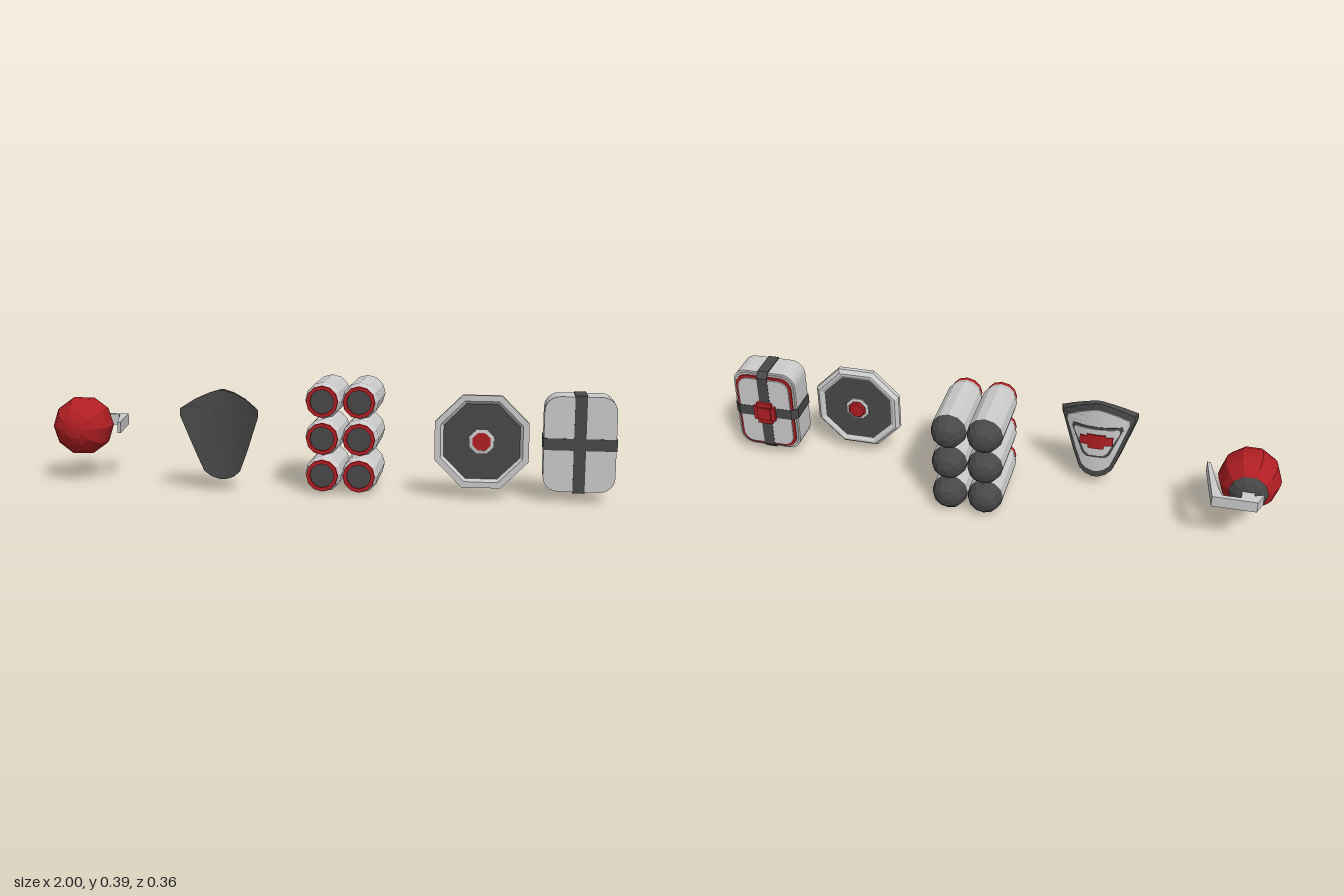
import * as THREE from 'three';

const material = (color) => new THREE.MeshStandardMaterial({ color, flatShading: true, side: THREE.DoubleSide });
const GREY = material(0xcccccc), DARK = material(0x484848), RED = material(0xb01e22);

function add(parent, name, geometry, mat) {
  const mesh = new THREE.Mesh(geometry, mat);
  mesh.name = name;
  parent.add(mesh);
  return mesh;
}

function group(parent, name, x, y) {
  const g = new THREE.Group();
  g.name = name;
  g.position.set(x, y, 0);
  parent.add(g);
  return g;
}

// Turned part along z; profile is [radius, z], running from front to back
function turned(profile, sides, phase = 0) {
  const pts = profile.map(([r, z]) => new THREE.Vector2(r, -z));
  return new THREE.LatheGeometry(pts, sides, phase).rotateX(-Math.PI / 2);
}

// Octagonal turned part with flats facing up and sideways; radii are apothems
const octagonal = (profile) =>
  turned(profile.map(([a, z]) => [a / Math.cos(Math.PI / 8), z]), 8, Math.PI / 8);

function polygon(points) {
  return new THREE.Shape(points.map(([x, y]) => new THREE.Vector2(x, y)));
}

function extrude(shape, z0, z1, curveSegments = 3) {
  return new THREE.ExtrudeGeometry(shape, { depth: z1 - z0, bevelEnabled: false, curveSegments }).translate(0, 0, z0);
}

function roundedRect(w, h, r) {
  const s = new THREE.Shape();
  s.moveTo(-w + r, -h);
  s.lineTo(w - r, -h).absarc(w - r, -h + r, r, -Math.PI / 2, 0);
  s.lineTo(w, h - r).absarc(w - r, h - r, r, 0, Math.PI / 2);
  s.lineTo(-w + r, h).absarc(-w + r, h - r, r, Math.PI / 2, Math.PI);
  s.lineTo(-w, -h + r).absarc(-w + r, -h + r, r, Math.PI, Math.PI * 1.5);
  return s;
}

// Plate bowed across x; rows are [y, halfWidth] from bottom to top
function bowedPlate(rows, zFront, zBack, backInset = 1) {
  const n = 9, pos = [], index = [];
  const quad = (a, b, c, d) => index.push(a, b, c, a, c, d);
  for (const [y, w] of rows) {
    for (let i = 0; i < 2 * n; i++) {
      const front = i < n;
      const t = (front ? i : 2 * n - 1 - i) / (n - 1) * 2 - 1;
      const x = t * w * (front ? 1 : backInset);
      pos.push(x, y, (front ? zFront : zBack) + 2.3 * x * x);
    }
  }
  for (let r = 0; r < rows.length - 1; r++) {
    for (let i = 0; i < 2 * n; i++) {
      const j = (i + 1) % (2 * n), a = r * 2 * n;
      quad(a + i, a + j, a + 2 * n + j, a + 2 * n + i);
    }
  }
  const top = (rows.length - 1) * 2 * n;
  for (let i = 0; i < n - 1; i++) {
    const k = 2 * n - 1 - i;
    quad(top + i, top + i + 1, top + k - 1, top + k);
    quad(k, k - 1, i + 1, i);
  }
  const g = new THREE.BufferGeometry();
  g.setAttribute('position', new THREE.Float32BufferAttribute(pos, 3));
  g.setIndex(index);
  g.computeVertexNormals();
  return g;
}

// Round grenade with cap, neck and bent lever
function buildGrenade(root) {
  const g = group(root, 'grenade', -0.892, 0.198);
  add(g, 'grenadeBody', new THREE.SphereGeometry(0.108, 10, 10).rotateX(-Math.PI / 2), RED).position.z = 0.015;
  add(g, 'grenadeCap', new THREE.SphereGeometry(0.112, 10, 3, 0, Math.PI * 2, 0, 0.65).rotateX(-Math.PI / 2), DARK)
    .position.z = 0.015;
  add(g, 'grenadeNeck', new THREE.BoxGeometry(0.043, 0.036, 0.06), GREY).position.z = -0.115;
  const lever = polygon([[-0.053, -0.1], [-0.034, -0.148], [0.117, -0.148], [0.15, 0.048], [0.137, 0.044],
    [0.1, -0.095], [0.085, -0.132], [0.025, -0.132], [-0.012, -0.115]]);
  add(g, 'grenadeLever', extrude(lever, -0.02, 0.02).rotateX(Math.PI / 2), GREY);
}

// Bowed shield with a layered back panel and badge
function buildShield(root) {
  const g = group(root, 'shield', -0.345, 0.2);
  const outline = [[-0.16, 0.012], [-0.15, 0.04], [-0.13, 0.064], [-0.06, 0.092], [0.07, 0.138], [0.094, 0.138],
    [0.125, 0.09], [0.145, 0.045], [0.155, 0.008]];
  const scaled = (k) => outline.map(([y, w]) => [y * k, w * k]);
  add(g, 'shieldShell', bowedPlate(outline, 0.134, 0.113, 0.93), DARK);
  add(g, 'shieldPanel', bowedPlate(scaled(0.84), 0.12, 0.108, 0.97), GREY);
  const field = (k) => [[-0.07, 0.035], [-0.058, 0.05], [0.045, 0.092], [0.06, 0.088]].map(([y, w]) => [y + (k ? (y < 0 ? k : -k) : 0), w - k]);
  add(g, 'shieldFieldBorder', bowedPlate(field(0), 0.12, 0.106), DARK);
  add(g, 'shieldField', bowedPlate(field(0.009), 0.12, 0.104), GREY);
  add(g, 'shieldBadgeBar', bowedPlate([[-0.015, 0.06], [0.02, 0.06]], 0.12, 0.1), RED);
  add(g, 'shieldBadgeCentre', bowedPlate([[-0.028, 0.028], [0.03, 0.034]], 0.12, 0.099), RED);
}

// Two columns of three domed canisters
function buildCanisters(root) {
  for (const x of [0.008, 0.136]) {
    for (const y of [0.064, 0.193, 0.322]) {
      const g = group(root, 'canister', x, y);
      add(g, 'canisterBody', turned([[0.05, 0.128], [0.055, 0.128], [0.064, 0.1], [0.064, -0.117]], 12), GREY);
      add(g, 'canisterRing', turned([[0.042, 0.125], [0.042, 0.143], [0.055, 0.143], [0.055, 0.125]], 12), RED);
      add(g, 'canisterEnd', turned([[0, 0.135], [0.044, 0.135]], 12), DARK);
      add(g, 'canisterDome', turned([[0.064, -0.117], [0.055, -0.148], [0.033, -0.17], [0, -0.178]], 12), DARK);
    }
  }
}

// Flat octagonal mine with raised rim and centre button
function buildMine(root) {
  const g = group(root, 'mine', 0.553, 0.198);
  add(g, 'mineRim', octagonal([[0.126, 0.132], [0.138, 0.143], [0.158, 0.143], [0.158, 0.126], [0.146, 0.113],
    [0.138, 0.113], [0.127, 0.12], [0.126, 0.132]]), GREY);
  add(g, 'minePlate', octagonal([[0, 0.134], [0.13, 0.134], [0.13, 0.12], [0, 0.12]]), DARK);
  add(g, 'mineButtonRing', octagonal([[0.03, 0.141], [0.042, 0.139], [0.042, 0.115], [0.03, 0.113], [0.03, 0.141]]), GREY);
  add(g, 'mineButton', octagonal([[0, 0.14], [0.031, 0.14], [0.031, 0.108], [0.026, 0.103], [0, 0.103]]), RED);
}

// Rounded pack with crossed straps and a buckle
function buildPack(root) {
  const g = group(root, 'pack', 0.878, 0.197);
  add(g, 'packBody', extrude(roundedRect(0.119, 0.161, 0.05), 0.036, 0.143), GREY);
  add(g, 'packShoulder', extrude(roundedRect(0.113, 0.154, 0.047), 0.031, 0.04), GREY);
  add(g, 'packTrim', extrude(roundedRect(0.107, 0.147, 0.044), 0.025, 0.035), RED);
  add(g, 'packLid', extrude(roundedRect(0.098, 0.138, 0.04), 0.019, 0.03), GREY);
  const strap = (h) => extrude(polygon([[-h, 0.145], [-h, 0.036], [-h + 0.021, 0.017], [h - 0.021, 0.017],
    [h, 0.036], [h, 0.145]]), -0.02, 0.02).rotateX(Math.PI / 2);
  add(g, 'horizontalStrap', strap(0.122), DARK);
  add(g, 'verticalStrap', strap(0.165).rotateZ(Math.PI / 2), DARK);
  const buckle = [[0.058, 0.086, 0.017, -0.084], [0.082, 0.056, 0.017, 0], [0.05, 0.052, 0.024, 0]];
  add(g, 'buckleTall', new THREE.BoxGeometry(0.056, 0.086, 0.018), RED).position.z = 0.015;
  add(g, 'buckleWide', new THREE.BoxGeometry(0.082, 0.056, 0.018), RED).position.z = 0.015;
  add(g, 'buckleCentre', new THREE.BoxGeometry(0.05, 0.052, 0.024), RED).position.z = 0.012;
}

export function createModel() {
  const root = new THREE.Group();
  root.name = 'equipmentSet';
  buildGrenade(root);
  buildShield(root);
  buildCanisters(root);
  buildMine(root);
  buildPack(root);
  return root;
}
